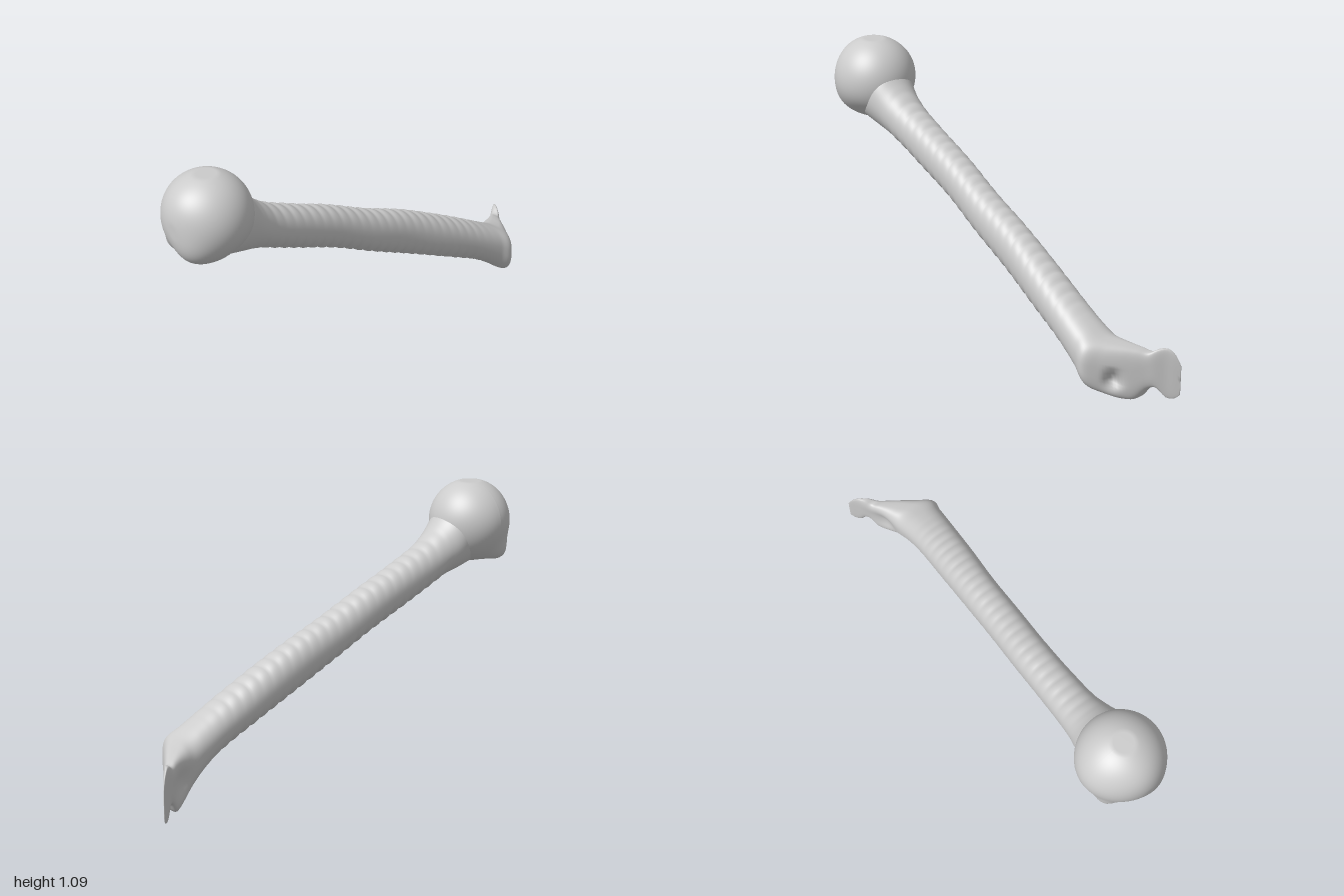
import * as THREE from 'three';

const material = new THREE.MeshStandardMaterial({ color: 0xcccccc, side: THREE.DoubleSide });

// Soft bump that is 1 at distance 0 and fades over the given width
const bump = (distance, width) => Math.exp(-((distance / width) ** 2));

function finish(geometry, name) {
  geometry.computeVertexNormals();
  const mesh = new THREE.Mesh(geometry, material);
  mesh.name = name;
  return mesh;
}

// Upright cross-sections of the shaft: z, min x, max x, min y, max y, roundness exponent
const sections = [
  [0.78, -0.13, 0.10, 0.735, 1.03, 1],
  [0.69, -0.13, 0.10, 0.715, 1.00, 1],
  [0.62, -0.112, 0.09, 0.70, 0.925, 1],
  [0.55, -0.10, 0.08, 0.675, 0.87, 0.95],
  [0.40, -0.085, 0.08, 0.615, 0.80, 0.9],
  [0.20, -0.07, 0.09, 0.535, 0.72, 0.9],
  [0.00, -0.05, 0.11, 0.44, 0.63, 0.9],
  [-0.20, -0.035, 0.127, 0.35, 0.55, 0.9],
  [-0.40, -0.02, 0.155, 0.26, 0.455, 0.9],
  [-0.60, -0.005, 0.18, 0.165, 0.352, 0.9],
  [-0.70, -0.005, 0.193, 0.10, 0.298, 0.85],
  [-0.76, -0.012, 0.20, 0.055, 0.265, 0.75],
  [-0.80, -0.022, 0.15, 0.03, 0.25, 0.65],
  [-0.85, -0.038, 0.085, 0.008, 0.235, 0.6],
  [-0.88, -0.05, 0.045, 0.01, 0.225, 0.6],
  [-0.91, -0.062, 0.005, 0.055, 0.215, 0.6],
  [-0.935, -0.075, -0.025, 0.06, 0.23, 0.6],
  [-0.96, -0.088, -0.06, 0.018, 0.23, 0.6],
  [-0.985, -0.102, -0.088, 0.015, 0.20, 0.6],
  [-1.00, -0.11, -0.106, 0.03, 0.16, 0.6],
];

// Shaft lofted through the sections, ending in an obliquely flattened, notched blade
function createShaft() {
  const blend = new THREE.CubicInterpolant(
    sections.map((s) => -s[0]), sections.flatMap((s) => s.slice(1)), 5, new Float32Array(5));
  const rings = 230, sides = 60, start = 0.78, end = -1;
  const positions = [], indices = [];
  const pit = new THREE.Vector3(0.10, 0.10, -0.83);
  const hollow = new THREE.Vector3(-0.03, 0.12, -0.84);
  const p = new THREE.Vector3();
  for (let i = 0; i <= rings; i++) {
    const z = THREE.MathUtils.lerp(start, end, i / rings);
    const [x0, x1, y0, y1, power] = blend.evaluate(-z);
    // Fine growth ridges across the shaft, strongest underneath
    const fade = THREE.MathUtils.smoothstep(z, -0.7, -0.5) * (1 - THREE.MathUtils.smoothstep(z, 0.5, 0.68));
    const ridge = fade * (Math.abs(Math.sin((z * Math.PI) / 0.05)) - 0.5);
    for (let j = 0; j < sides; j++) {
      const a = (j / sides) * Math.PI * 2;
      const c = Math.cos(a), s = Math.sin(a);
      const ex = Math.sign(c) * Math.abs(c) ** power;
      const ey = Math.sign(s) * Math.abs(s) ** power;
      p.set((x0 + x1) / 2 + (ex * (x1 - x0)) / 2, (y0 + y1) / 2 + (ey * (y1 - y0)) / 2, z);
      p.y += ridge * (s < 0 ? 0.013 : 0.006) * s;
      // Pit in the flat face and shallow hollow on the opposite face
      if (c > 0) {
        const depth = 0.045 * bump(p.distanceTo(pit), 0.03);
        p.x -= depth * 0.7;
        p.z += depth * 0.7;
      } else {
        p.x += 0.025 * bump(p.distanceTo(hollow), 0.06);
      }
      positions.push(p.x, p.y, p.z);
      if (i < rings) {
        const k = i * sides + j, n = i * sides + ((j + 1) % sides);
        indices.push(k, k + sides, n, n, k + sides, n + sides);
      }
    }
  }
  // Close the narrow tip
  const tip = rings * sides;
  for (let j = 1; j < sides - 1; j++) indices.push(tip, tip + j + 1, tip + j);
  const geometry = new THREE.BufferGeometry();
  geometry.setAttribute('position', new THREE.Float32BufferAttribute(positions, 3));
  geometry.setIndex(indices);
  return finish(geometry, 'shaft');
}

// Lobes and grooves of the head: direction, height, angular width
const lobes = [
  [[-0.13, -0.15, 0.08], 0.04, 0.3],
  [[0.06, -0.11, 0.14], 0.022, 0.45],
  [[-0.05, -0.14, 0.12], -0.028, 0.22],
  [[-0.17, 0.02, 0], 0.01, 0.6],
  [[0, 0.1, 0.15], 0.008, 0.5],
  [[0.12, -0.14, -0.05], -0.008, 0.4],
].map(([d, height, width]) => ({ dir: new THREE.Vector3(...d).normalize(), height, width }));

// Rounded head: a sphere shaped by the lobes, slightly flattened on top and in front
function createHead() {
  const geometry = new THREE.SphereGeometry(1, 80, 56);
  const position = geometry.attributes.position;
  const d = new THREE.Vector3();
  for (let i = 0; i < position.count; i++) {
    d.fromBufferAttribute(position, i).normalize();
    let radius = 0.178;
    for (const lobe of lobes) radius += lobe.height * bump(d.angleTo(lobe.dir), lobe.width);
    const x = -0.022 + d.x * radius;
    const y = 0.923 + d.y * (radius + 0.004);
    const z = 0.82 + d.z * radius;
    position.setXYZ(i, x, Math.min(y, 1.098), Math.min(z, 1));
  }
  return finish(geometry, 'head');
}

export function createModel() {
  const group = new THREE.Group();
  group.name = 'armBone';
  group.add(createShaft(), createHead());
  return group;
}
